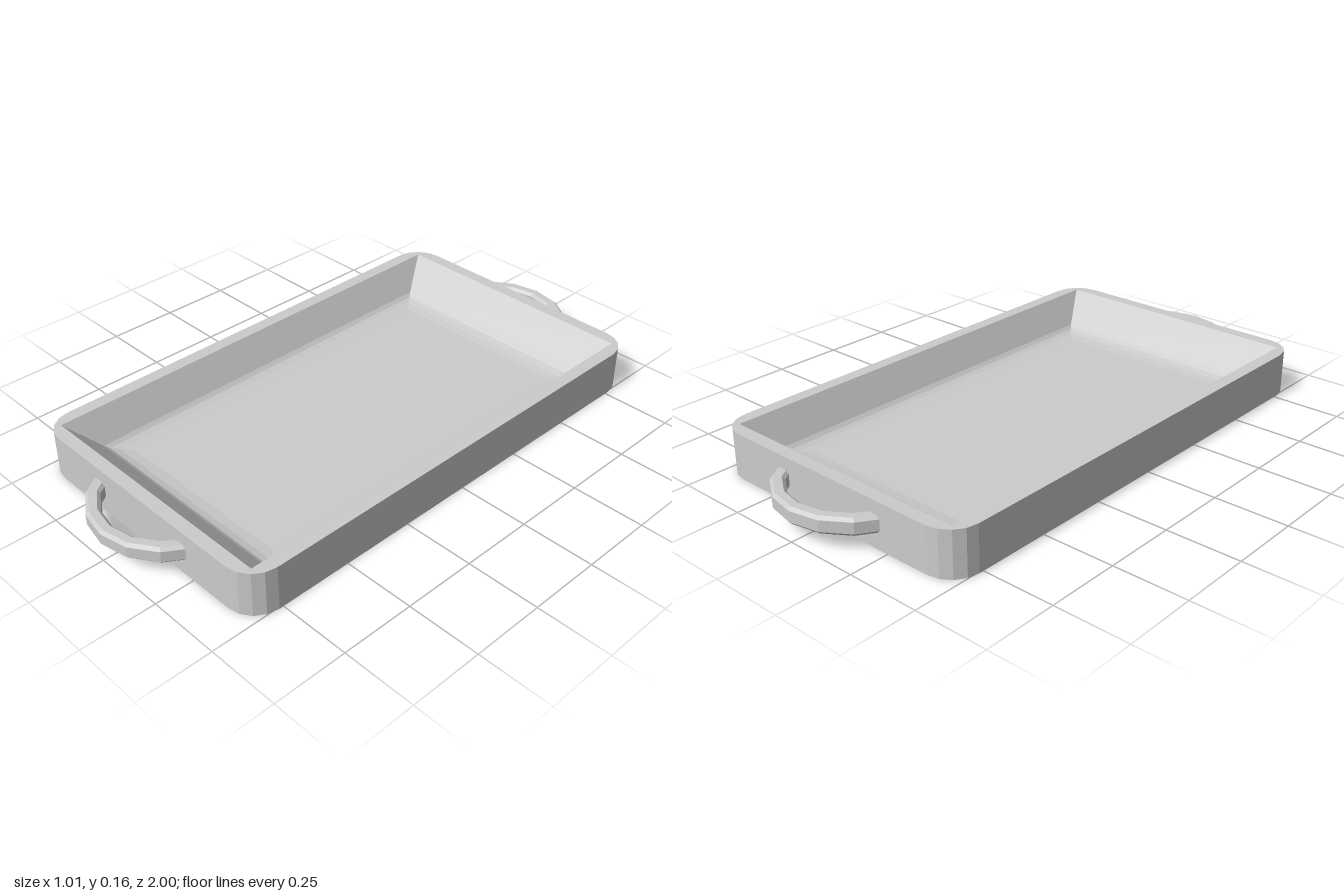
import * as THREE from 'three';

const material = new THREE.MeshStandardMaterial({ color: 0xcccccc, flatShading: true });

// Rectangle outline, counterclockwise seen from above; corners rounded if r > 0
function outline(w, d, r = 0, steps = 4) {
  const points = [];
  [[1, 1], [-1, 1], [-1, -1], [1, -1]].forEach(([sx, sy], c) => {
    for (let i = 0; i <= (r ? steps : 0); i++) {
      const a = (c + i / steps) * Math.PI / 2;
      points.push(new THREE.Vector2(sx * (w - r) + r * Math.cos(a) * (r ? 1 : 0), sy * (d - r) + r * Math.sin(a)));
    }
  });
  return points;
}

// Joins outlines at given heights into a band of faces
function skin(rings) {
  const n = rings[0].points.length, position = [], index = [];
  for (const { points, y } of rings) for (const p of points) position.push(p.x, y, -p.y);
  for (let k = 0; k < rings.length - 1; k++) {
    for (let i = 0; i < n; i++) {
      const a = k * n + i, b = k * n + (i + 1) % n;
      index.push(a, b, b + n, a, b + n, a + n);
    }
  }
  const geometry = new THREE.BufferGeometry();
  geometry.setAttribute('position', new THREE.Float32BufferAttribute(position, 3));
  geometry.setIndex(index);
  geometry.computeVertexNormals();
  return geometry;
}

// Horizontal sheet facing up or down
function sheet(points, y, up = true, hole) {
  const shape = new THREE.Shape(points);
  if (hole) shape.holes.push(new THREE.Path(hole));
  return new THREE.ShapeGeometry(shape).rotateX(up ? -Math.PI / 2 : Math.PI / 2).translate(0, y, 0);
}

export function createModel() {
  const model = new THREE.Group();
  const add = (name, geometry) => {
    const mesh = new THREE.Mesh(geometry, material);
    mesh.name = name;
    model.add(mesh);
    return mesh;
  };

  const height = 0.155;
  const outer = outline(0.505, 0.865, 0.1);

  // Outer shell
  add('outerWall', skin([{ points: outer, y: 0 }, { points: outer, y: height }]));
  add('underside', sheet(outer, 0, false));

  // Sloped basin, easing into the floor: half width, half depth, height
  const rings = [
    [0.46, 0.82, height], [0.4, 0.715, 0.052], [0.388, 0.7, 0.041],
    [0.37, 0.675, 0.034], [0.34, 0.64, 0.03],
  ].map(([w, d, y]) => ({ points: outline(w, d), y }));
  add('rim', sheet(outer, height, true, rings[0].points));
  add('basin', skin(rings));
  add('floor', sheet(rings[4].points, rings[4].y));

  // Curved handles: a chamfered bar swept round an arc into each end wall
  const [r0, r1, y0, y1, c] = [0.214, 0.26, 0.054, 0.111, 0.01];
  const profile = [
    [r0 + c, y0], [r1 - c, y0], [r1, y0 + c], [r1, y1 - c],
    [r1 - c, y1], [r0 + c, y1], [r0, y1 - c], [r0, y0 + c], [r0 + c, y0],
  ].map(([x, y]) => new THREE.Vector2(x, y));
  const arc = Math.PI * 3 / 4;
  for (const [name, side] of [['frontHandle', 1], ['backHandle', -1]]) {
    const handle = add(name, new THREE.LatheGeometry(profile, 6, -arc / 2, arc));
    handle.position.z = side * 0.74;
    if (side < 0) handle.rotation.y = Math.PI;
  }
  return model;
}
